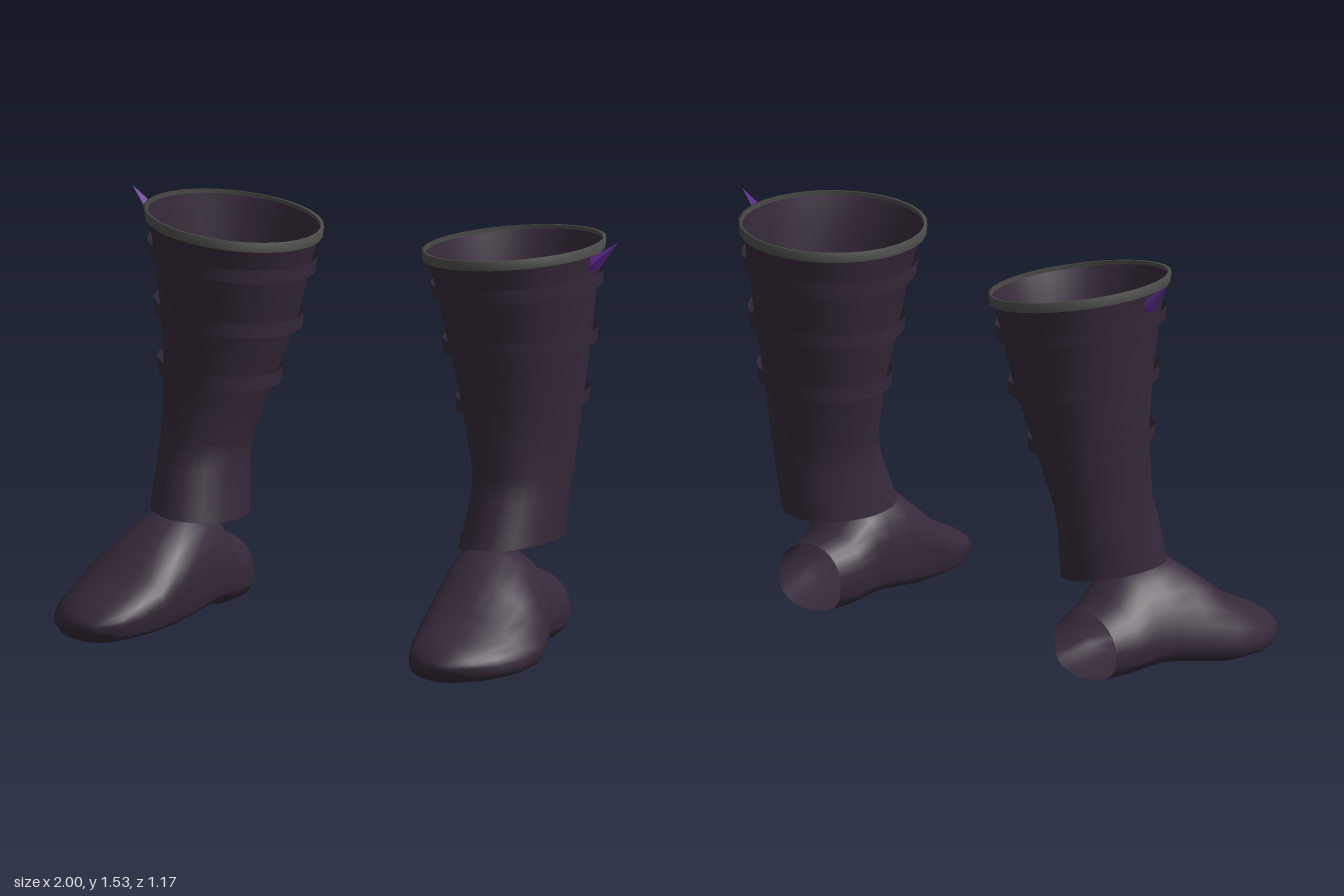
import * as THREE from 'three';

const leather = new THREE.MeshStandardMaterial({ name: 'dark leather', color: 0x352938, side: THREE.DoubleSide });
const trim = new THREE.MeshStandardMaterial({ name: 'grey trim', color: 0x4e4e4c, side: THREE.DoubleSide });
const spikeMat = new THREE.MeshStandardMaterial({ name: 'purple spike', color: 0x66309c });

const N = 28;

// Smooth skin through a list of closed rings, each an array of N [x, y, z] points
function loft(rings, side) {
  const pos = [], idx = [];
  rings.forEach((ring) => ring.forEach(([x, y, z]) => pos.push(x * side, y, z)));
  for (let r = 0; r < rings.length - 1; r++) {
    for (let i = 0; i < N; i++) {
      const a = r * N + i, b = r * N + (i + 1) % N, c = a + N, d = b + N;
      if (side > 0) idx.push(a, b, c, b, d, c);
      else idx.push(a, c, b, b, c, d);
    }
  }
  const g = new THREE.BufferGeometry();
  g.setAttribute('position', new THREE.Float32BufferAttribute(pos, 3));
  g.setIndex(idx);
  g.computeVertexNormals();
  return g;
}

const loop = (fn) => Array.from({ length: N }, (_, i) => fn((i / N) * Math.PI * 2));

// Tilted oval: inner edge x, y; outer edge x, y; back and front z
function oval([xi, yi, xo, yo, zb, zf], grow = 0, lift = 0) {
  return loop((a) => {
    const c = Math.cos(a), s = Math.sin(a);
    return [
      (xi + xo) / 2 + c * ((xo - xi) / 2 + grow),
      (yi + yo) / 2 + c * (yo - yi) / 2 + lift,
      (zb + zf) / 2 + s * ((zf - zb) / 2 + grow),
    ];
  });
}

// Foot slice: flat sole below, leaning arch above
function slice([z, xi, xo, yb, yt, xt, ym], dz) {
  const xc = (xi + xo) / 2, w = (xo - xi) / 2;
  return loop((a) => {
    const c = Math.cos(a), s = Math.sin(a);
    const y = s >= 0 ? ym + (yt - ym) * s : ym - (ym - yb) * Math.pow(-s, 0.6);
    return [xc + w * c + (s > 0 ? (xt - xc) * s : 0), y, z + dz];
  });
}

// z, inner x, outer x, sole y, top y, ridge x, widest y (heel to toe)
const FOOT = [
  [-0.30, 0.47, 0.76, 0.02, 0.27, 0.61, 0.14],
  [-0.20, 0.455, 0.79, 0.02, 0.30, 0.60, 0.14],
  [-0.11, 0.455, 0.81, 0.03, 0.385, 0.59, 0.15],
  [-0.03, 0.455, 0.83, 0.035, 0.405, 0.60, 0.14],
  [0.08, 0.46, 0.88, 0.02, 0.415, 0.61, 0.12],
  [0.20, 0.475, 0.925, 0, 0.33, 0.63, 0.10],
  [0.33, 0.49, 0.925, 0, 0.225, 0.64, 0.08],
  [0.44, 0.52, 0.88, 0, 0.175, 0.65, 0.07],
  [0.52, 0.55, 0.82, 0.005, 0.135, 0.66, 0.07],
  [0.57, 0.63, 0.73, 0.045, 0.09, 0.68, 0.065],
  [0.572, 0.68, 0.68, 0.065, 0.065, 0.68, 0.065],
];

// Shaft ovals from the top down; entries 1 to 3 carry the straps
const LEFT = {
  side: 1, footShift: 0, footZ: 0, spike: [0.872, 1.402, -0.22], tip: [1.0, 1.518, -0.225],
  shaft: [
    [0.26, 1.44, 0.885, 1.48, -0.575, 0.13],
    [0.295, 1.305, 0.865, 1.355, -0.545, 0.08],
    [0.33, 1.10, 0.845, 1.145, -0.51, 0.03],
    [0.38, 0.885, 0.82, 0.925, -0.465, -0.01],
    [0.44, 0.65, 0.79, 0.66, -0.43, -0.005],
    [0.45, 0.56, 0.78, 0.57, -0.42, 0.025],
    [0.43, 0.38, 0.775, 0.41, -0.40, 0.10],
  ],
};
const RIGHT = {
  side: -1, footShift: 0.072, footZ: 0.008, spike: [0.86, 1.408, -0.18], tip: [0.975, 1.535, -0.18],
  shaft: [
    [0.25, 1.405, 0.865, 1.495, -0.515, 0.155],
    [0.29, 1.285, 0.85, 1.365, -0.49, 0.11],
    [0.34, 1.08, 0.83, 1.145, -0.455, 0.07],
    [0.42, 0.875, 0.82, 0.925, -0.41, 0.03],
    [0.50, 0.65, 0.815, 0.66, -0.37, 0.035],
    [0.51, 0.56, 0.815, 0.57, -0.36, 0.07],
    [0.49, 0.37, 0.82, 0.41, -0.33, 0.12],
  ],
};

function makeBoot(spec, name) {
  const { side, shaft } = spec;
  const boot = new THREE.Group();
  boot.name = name;
  const add = (geometry, material, part) => {
    const m = new THREE.Mesh(geometry, material);
    m.name = part;
    boot.add(m);
    return m;
  };

  // Leg tube, open at both ends
  add(loft(shaft.map((r) => oval(r)), side), leather, 'shaft');

  // Foot, open at the heel
  const foot = add(loft(FOOT.map((f, i) => slice(f, i ? spec.footZ : 0)).reverse(), side), leather, 'foot');
  foot.position.x = side * spec.footShift;

  // Loose straps standing off the shaft
  for (let i = 1; i <= 3; i++) {
    add(loft([oval(shaft[i], 0.022, 0.026), oval(shaft[i], 0.018, -0.026)], side), leather, 'strap' + i);
  }

  // Rim around the top opening
  const top = shaft[0];
  add(loft([oval(top, 0, 0.014), oval(top, 0.012, 0.014), oval(top, 0.008, -0.022)], side), trim, 'rim');

  // Four-sided spike pointing up and out
  const from = new THREE.Vector3(...spec.spike), to = new THREE.Vector3(...spec.tip);
  from.x *= side;
  to.x *= side;
  const dir = to.clone().sub(from), len = dir.length();
  const profile = [[0, 0], [0.028, len * 0.25], [0, len]].map(([x, y]) => new THREE.Vector2(x, y));
  const cone = new THREE.LatheGeometry(profile, 4).toNonIndexed();
  cone.computeVertexNormals();
  const spike = add(cone, spikeMat, 'spike');
  spike.position.copy(from);
  spike.quaternion.setFromUnitVectors(new THREE.Vector3(0, 1, 0), dir.normalize());
  return boot;
}

export function createModel() {
  const model = new THREE.Group();
  model.name = 'bootPair';
  model.add(makeBoot(LEFT, 'leftBoot'), makeBoot(RIGHT, 'rightBoot'));
  return model;
}
